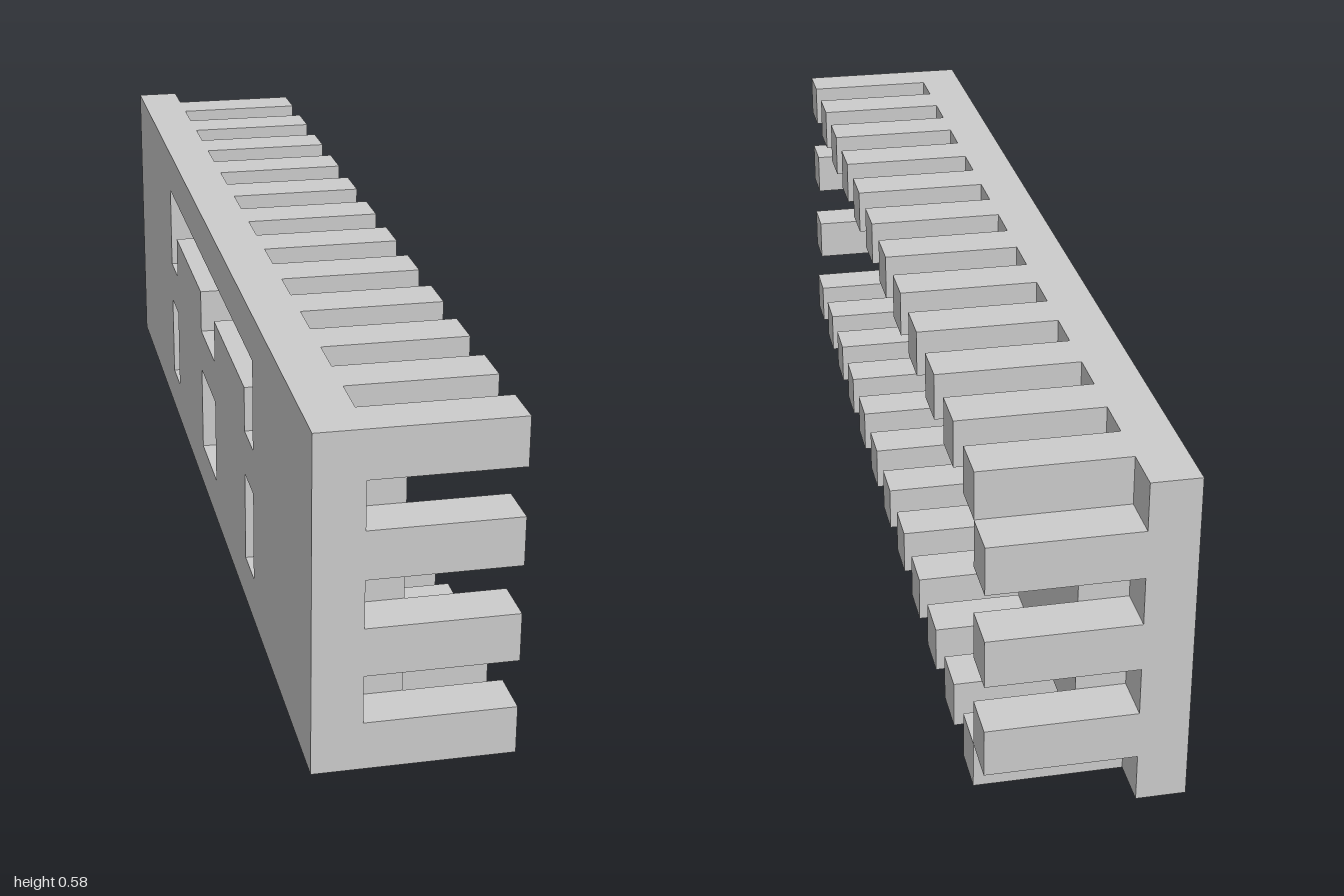
import * as THREE from 'three';

const U = 1 / 12; // grid unit: the wall is 24 long, 7 high, 4 deep

export function createModel() {
  const model = new THREE.Group();
  const material = new THREE.MeshStandardMaterial({ color: 0xcccccc, flatShading: true });

  // Box given by its extents in grid units
  function block(name, [x0, x1], [y0, y1], [z0, z1]) {
    const geometry = new THREE.BoxGeometry((x1 - x0) * U, (y1 - y0) * U, (z1 - z0) * U);
    const mesh = new THREE.Mesh(geometry, material);
    mesh.position.set((x0 + x1) / 2 * U, (y0 + y1) / 2 * U, (z0 + z1) / 2 * U);
    mesh.name = name;
    model.add(mesh);
  }

  const outline = (points) => points.map(([z, y]) => new THREE.Vector2(z * U, y * U));

  // Back plate, drawn in the z-y plane
  const plate = new THREE.Shape(outline([[-12, 0], [12, 0], [12, 7], [-12, 7]]));
  // Upper opening with three notches hanging down
  plate.holes.push(new THREE.Path(outline([
    [-6, 6], [-6, 4], [-5, 4], [-5, 5], [-1, 5], [-1, 4], [1, 4],
    [1, 5], [5, 5], [5, 4], [6, 4], [6, 6],
  ])));
  // Lower openings
  for (const [a, b] of [[-6, -5], [-1, 1], [5, 6]]) {
    plate.holes.push(new THREE.Path(outline([[a, 1], [a, 3], [b, 3], [b, 1]])));
  }
  const plateGeometry = new THREE.ExtrudeGeometry(plate, { depth: U, bevelEnabled: false });
  plateGeometry.rotateY(-Math.PI / 2);
  plateGeometry.translate(-U, 0, 0);
  const backPlate = new THREE.Mesh(plateGeometry, material);
  backPlate.name = 'backPlate';
  model.add(backPlate);

  // Raised panels on the inner side of the plate
  block('outerPanel', [-1, 0], [1, 6], [6, 11]);
  block('outerPanel', [-1, 0], [1, 6], [-11, -6]);
  block('innerPanel', [-1, 0], [1, 5], [1, 5]);
  block('innerPanel', [-1, 0], [1, 5], [-5, -1]);

  // Teeth along the top and bottom edges
  for (let z = -11; z < 12; z += 2) {
    block('bottomTooth', [-1, 2], [0, 1], [z, z + 1]);
    block('topTooth', [-1, 2], [6, 7], [z, z + 1]);
  }

  // End teeth, staggered between the two ends
  for (const y of [2, 4]) block('frontEndTooth', [-1, 2], [y, y + 1], [11, 12]);
  for (const y of [1, 3, 5]) block('rearEndTooth', [-1, 2], [y, y + 1], [-12, -11]);

  return model;
}
